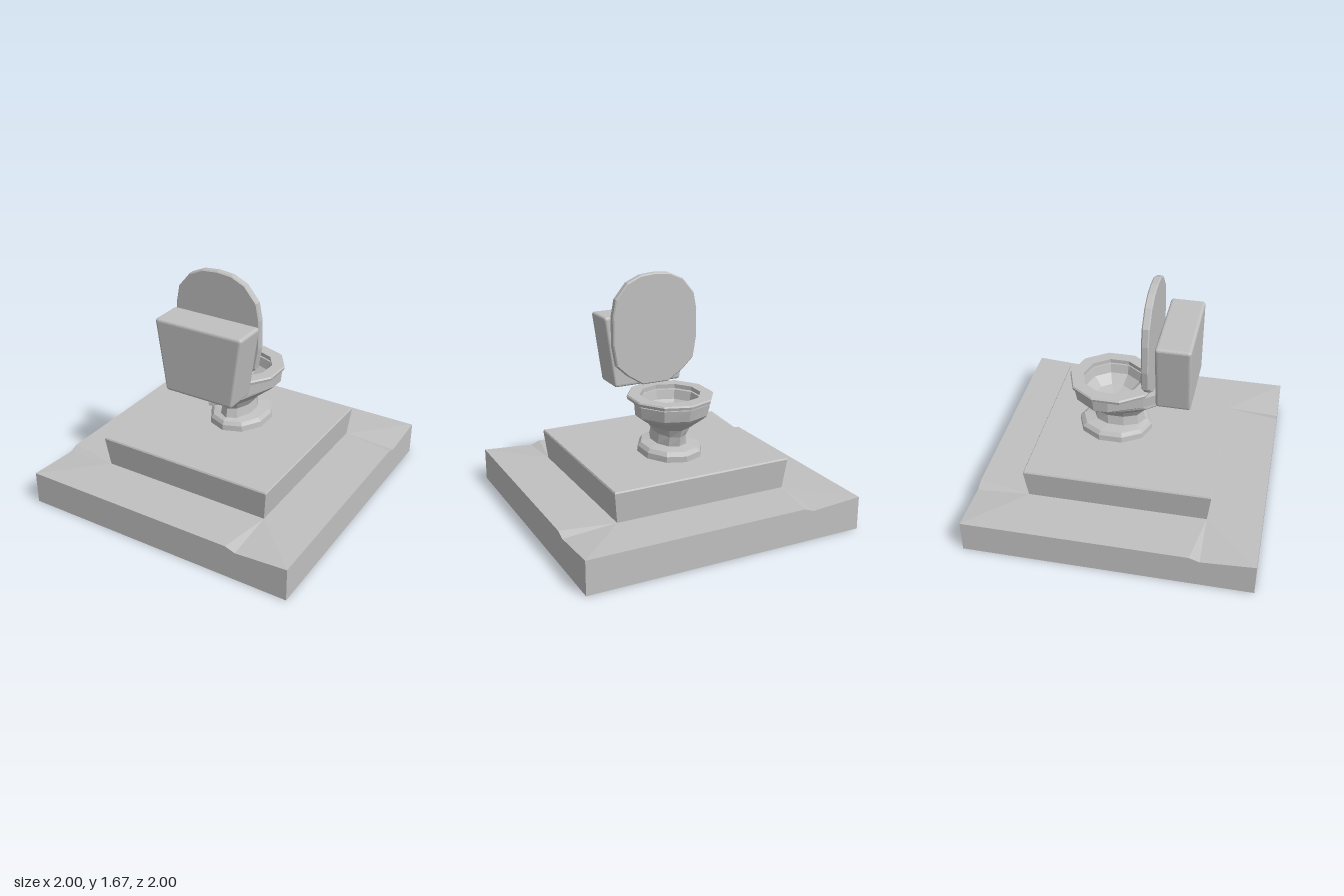
import * as THREE from 'three';
import { RoundedBoxGeometry } from 'three/addons/geometries/RoundedBoxGeometry.js';

const stone = new THREE.MeshStandardMaterial({ color: 0xc0c0c0, flatShading: true, side: THREE.DoubleSide });
stone.name = 'grey stone';

function part(name, geometry) {
  const mesh = new THREE.Mesh(geometry, stone);
  mesh.name = name;
  return mesh;
}

function fromTriangles(points) {
  const g = new THREE.BufferGeometry();
  g.setAttribute('position', new THREE.Float32BufferAttribute(points.flat(), 3));
  g.computeVertexNormals();
  return g;
}

// Ten-sided ring: half width, centre z, reach to -z, reach to +z, and how pointed the +z end is
function ring(y, rx, zc, zNear, zFar, point = 1) {
  return Array.from({ length: 10 }, (_, i) => {
    const a = (i * Math.PI) / 5;
    const c = Math.cos(a);
    const z = c > 0 ? -c * zNear : Math.pow(-c, point) * zFar;
    return [(rx * Math.sin(a)) / Math.sin(Math.PI * 0.4), y, zc + z];
  });
}

function square(y, h) {
  return [[-h, y, -h], [h, y, -h], [h, y, h], [-h, y, h]];
}

// Skin consecutive rings
function loft(rings) {
  const tris = [];
  for (let r = 0; r < rings.length - 1; r++) {
    const a = rings[r], b = rings[r + 1], n = a.length;
    for (let i = 0; i < n; i++) {
      const j = (i + 1) % n;
      tris.push(a[i], b[i], a[j], b[i], b[j], a[j]);
    }
  }
  return fromTriangles(tris);
}

// Open-bottomed lower step with one chipped dent on each edge
function lowerStep() {
  const h = 0.235, inner = 0.625;
  const L = [-1, 0, 1], R = [1, 0, 1];
  const A = [-1, h, 1], P = [0.56, h, 1], D = [0.63, 0.21, 1], C = [1, h, 1];
  const I0 = [-inner, h, inner], I1 = [inner, h, inner];
  const side = [
    L, R, D, R, C, D, L, D, P, L, P, A, // wall
    A, P, I0, P, I1, I0, P, D, I1, D, C, I1, // tread
  ];
  const tris = [];
  for (let k = 0; k < 4; k++) {
    const c = [1, 0, -1, 0][k], s = [0, 1, 0, -1][k];
    for (const [x, y, z] of side) tris.push([x * c + z * s, y, z * c - x * s]);
  }
  return fromTriangles(tris);
}

// Upright lid with clipped round outline
function lidGeometry() {
  const half = [[0.1, 0.88], [0.21, 0.95], [0.295, 1.03], [0.32, 1.18], [0.32, 1.38],
    [0.297, 1.5], [0.21, 1.605], [0.11, 1.65]];
  const outline = [...half, [0, 1.66], ...half.slice().reverse().map(([x, y]) => [-x, y])];
  const shape = new THREE.Shape(outline.map(([x, y]) => new THREE.Vector2(x, y)));
  const g = new THREE.ExtrudeGeometry(shape, {
    depth: 0.036, bevelEnabled: true, bevelThickness: 0.008, bevelSize: 0.008, bevelOffset: -0.003, bevelSegments: 1,
  });
  return g.translate(-0.02, 0, 0.117);
}

// Tank narrowing towards the bottom
function tankGeometry() {
  const h = 0.515;
  const g = new RoundedBoxGeometry(0.66, h, 0.24, 2, 0.02);
  const p = g.attributes.position;
  for (let i = 0; i < p.count; i++) {
    const t = p.getY(i) / h + 0.5;
    p.setX(i, p.getX(i) * THREE.MathUtils.lerp(0.78, 1, Math.min(1, t / 0.87)));
  }
  g.computeVertexNormals();
  return g.translate(0, 0.85 + h / 2, 0.315);
}

export function createModel() {
  const model = new THREE.Group();
  model.name = 'toilet on stepped plinth';

  model.add(part('lowerStep', lowerStep()));
  model.add(part('upperStep', loft([
    square(0.235, 0.625), square(0.445, 0.648), square(0.455, 0.642), square(0.455, 0),
  ])));

  // Foot, neck, bowl wall, rim and hollow
  model.add(part('bowl', loft([
    ring(0.455, 0.21, -0.135, 0.265, 0.265),
    ring(0.495, 0.205, -0.135, 0.265, 0.262),
    ring(0.52, 0.185, -0.135, 0.235, 0.245),
    ring(0.532, 0.11, -0.12, 0.17, 0.2),
    ring(0.6, 0.098, -0.12, 0.18, 0.185),
    ring(0.655, 0.13, -0.13, 0.19, 0.235),
    ring(0.735, 0.24, -0.15, 0.265, 0.445, 2.5),
    ring(0.755, 0.262, -0.15, 0.28, 0.455, 3),
    ring(0.835, 0.268, -0.15, 0.297, 0.467, 3),
    ring(0.835, 0.2, -0.15, 0.215, 0.215),
    ring(0.77, 0.185, -0.15, 0.2, 0.2),
    ring(0.71, 0.125, -0.15, 0.135, 0.135),
    ring(0.685, 0, -0.15, 0, 0),
  ])));

  // Seat ring floating just above the rim
  model.add(part('seat', loft([
    ring(0.845, 0.2, -0.15, 0.215, 0.215),
    ring(0.845, 0.28, -0.15, 0.31, 0.315),
    ring(0.865, 0.285, -0.15, 0.315, 0.32),
    ring(0.875, 0.277, -0.15, 0.307, 0.312),
    ring(0.875, 0.2, -0.15, 0.215, 0.215),
    ring(0.845, 0.2, -0.15, 0.215, 0.215),
  ])));

  model.add(part('lid', lidGeometry()));
  model.add(part('tank', tankGeometry()));
  return model;
}
